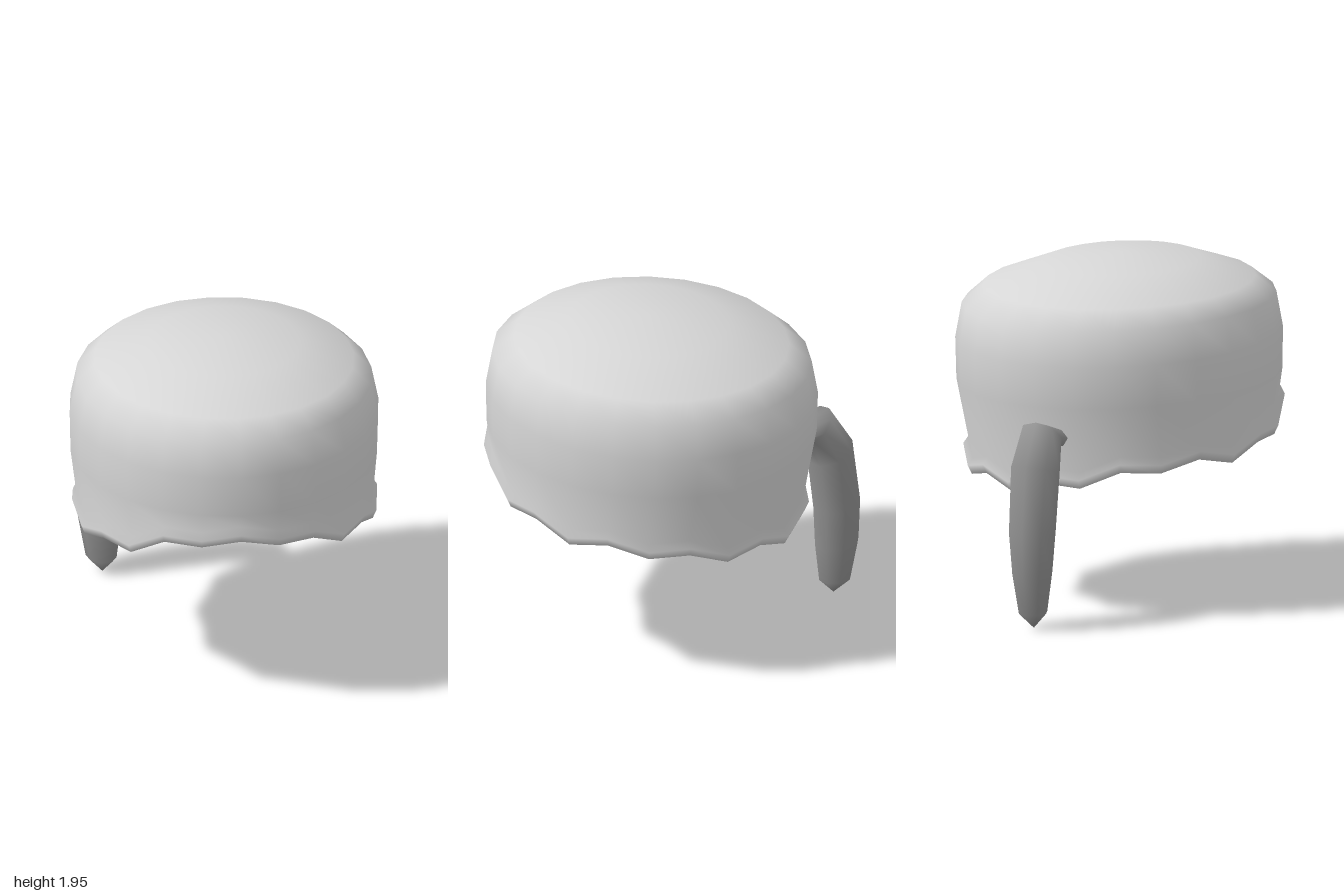
import * as THREE from 'three';
import { mergeVertices } from 'three/addons/utils/BufferGeometryUtils.js';

// Smooth skin through closed rings that run from top to bottom
function loft(rings) {
  const n = rings[0].length, index = [];
  for (let i = 0; i < rings.length - 1; i++) {
    for (let k = 0; k < n; k++) {
      const a = i * n + k, d = i * n + (k + 1) % n;
      index.push(a, a + n, d + n, a, d + n, d);
    }
  }
  let geometry = new THREE.BufferGeometry();
  geometry.setAttribute('position', new THREE.Float32BufferAttribute(rings.flat(2), 3));
  geometry.setIndex(index);
  geometry = mergeVertices(geometry, 1e-4);
  geometry.computeVertexNormals();
  return geometry;
}

// Heights of the ragged brim, every 15 degrees from the front towards +x
const BRIM = [1.11, 1.06, 1.05, 0.945, 0.96, 0.87, 0.91, 0.84, 0.85, 0.765, 0.80, 0.72,
  0.77, 0.71, 0.78, 0.765, 0.86, 0.85, 0.91, 0.86, 0.94, 0.94, 1.07, 1.07];

// Hat ring: rx, rz, centre z, height, and whether the height is above the brim
function hatRing([rx, rz, cz, y, fromBrim]) {
  return BRIM.map((brim, k) => {
    const a = k / BRIM.length * Math.PI * 2;
    const z = cz + rz * Math.cos(a);
    const height = fromBrim ? brim + y : y + 0.03 * (z - cz);
    return [rx * Math.sin(a), height, z];
  });
}

// Tail ring: distance out from the hat's axis, height, tilt, half width, half depth
const OUT = new THREE.Vector3(-0.576, 0, -0.818).normalize();
const SIDE = new THREE.Vector3(0, 1, 0).cross(OUT);
function tailRing([s, y, tilt, w, t]) {
  const lean = THREE.MathUtils.degToRad(tilt);
  return Array.from({ length: 8 }, (_, k) => {
    const a = k / 8 * Math.PI * 2;
    return new THREE.Vector3(0, y + t * Math.cos(a) * Math.sin(lean), 0)
      .addScaledVector(OUT, s + t * Math.cos(a) * Math.cos(lean))
      .addScaledVector(SIDE, w * Math.sin(a)).toArray();
  });
}

export function createModel() {
  const group = new THREE.Group();
  const paleFur = new THREE.MeshStandardMaterial({ color: 0xd6d6d6 });
  const darkFur = new THREE.MeshStandardMaterial({ color: 0x929292 });
  paleFur.name = 'paleFur';
  darkFur.name = 'darkFur';

  // Crown, wall, flared brim and lining as one skin
  const hat = new THREE.Mesh(loft([
    [0, 0, 0.07, 1.945],
    [0.43, 0.45, 0.07, 1.905],
    [0.73, 0.775, 0.055, 1.79],
    [0.83, 0.9, 0.053, 1.69],
    [0.87, 0.935, 0.053, 1.49],
    [0.865, 0.93, 0.055, 1.25],
    [0.835, 0.885, 0.085, 0.09, true],
    [0.86, 0.915, 0.085, 0.05, true],
    [0.84, 0.89, 0.085, 0, true],
    [0.80, 0.855, 0.085, 0.05, true],
    [0.83, 0.895, 0.055, 1.25],
    [0.835, 0.9, 0.053, 1.49],
    [0.80, 0.865, 0.053, 1.66],
    [0.70, 0.745, 0.055, 1.76],
    [0.42, 0.44, 0.07, 1.875],
    [0, 0, 0.07, 1.915],
  ].map(hatRing)), paleFur);
  hat.name = 'hat';

  // Tail, rooted inside the back of the hat and bending down
  const tail = new THREE.Mesh(loft([
    [0.70, 1.03, 85, 0, 0],
    [0.72, 1.03, 80, 0.10, 0.06],
    [0.93, 1.085, 50, 0.125, 0.115],
    [1.01, 0.90, 18, 0.15, 0.14],
    [1.05, 0.56, 0, 0.14, 0.14],
    [1.05, 0.32, 0, 0.115, 0.13],
    [1.04, 0.09, 0, 0.08, 0.095],
    [1.03, 0, 0, 0, 0],
  ].map(tailRing)), darkFur);
  tail.name = 'tail';

  group.add(hat, tail);
  return group;
}
